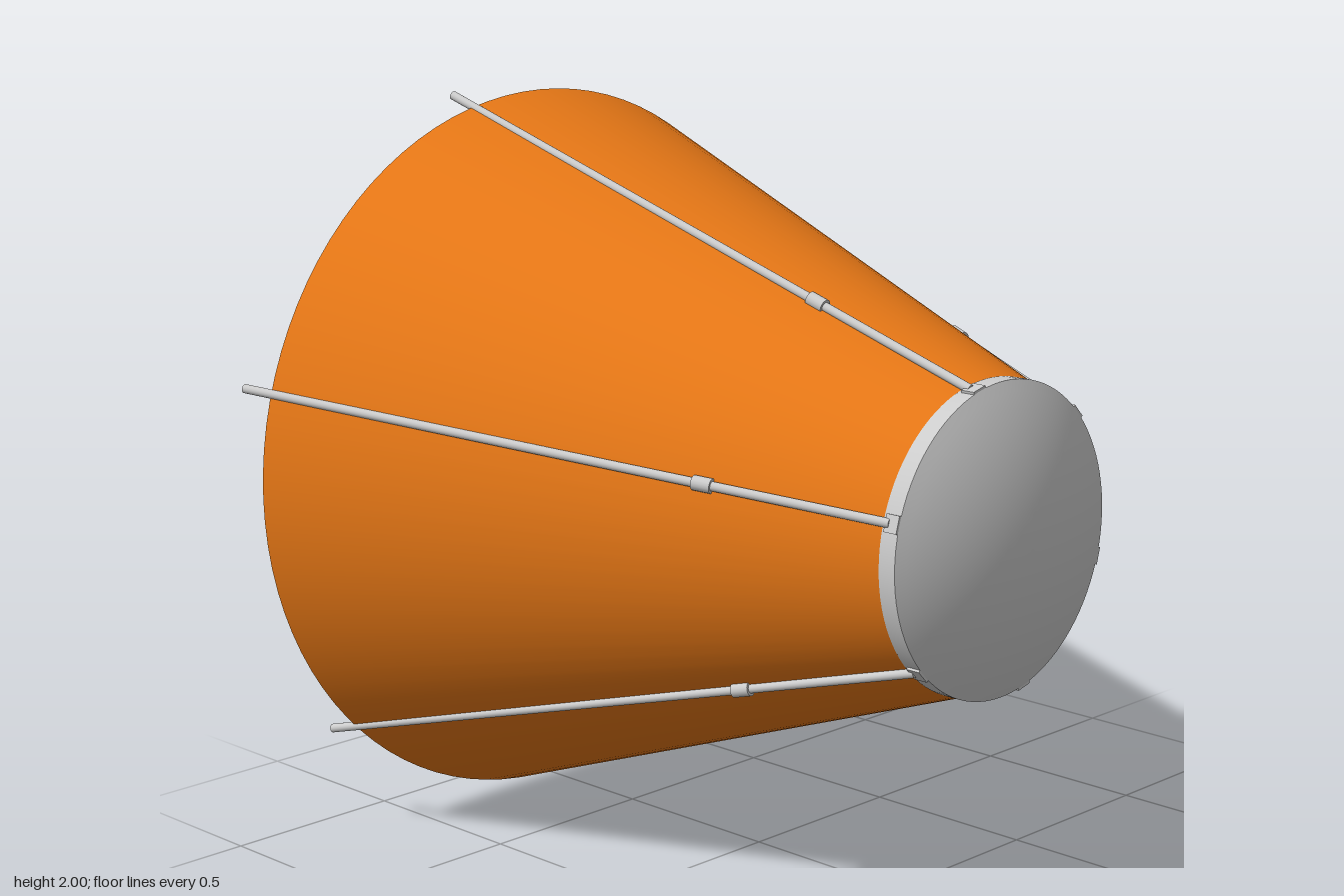
import * as THREE from 'three';

const CY = 1.0; // height of the main axis
const grey = new THREE.MeshStandardMaterial({ color: 0xcccccc });
const orange = new THREE.MeshStandardMaterial({ color: 0xe87816, side: THREE.DoubleSide });
const green = new THREE.MeshStandardMaterial({ color: 0x0e8212 });

function add(parent, name, geometry, material = grey) {
  const mesh = new THREE.Mesh(geometry, material);
  mesh.name = name;
  parent.add(mesh);
  return mesh;
}

// Cylinder along z, from z0 (radius r0) to z1 (radius r1)
function zCylinder(r0, r1, z0, z1, sides = 64, open = false) {
  return new THREE.CylinderGeometry(r1, r0, z1 - z0, sides, 1, open)
    .rotateX(Math.PI / 2).translate(0, 0, (z0 + z1) / 2);
}

export function createModel() {
  const model = new THREE.Group();
  const body = new THREE.Group();
  body.name = 'body';
  body.position.y = CY;
  model.add(body);

  // Thin conical skirt, open at the back
  add(body, 'skirt', zCylinder(0.994, 0.4, -0.84, 0.785, 96, true), orange);

  // Front cap: rim and shallow dome
  add(body, 'noseRim', zCylinder(0.404, 0.404, 0.78, 0.83, 96));
  const R = (0.404 ** 2 + 0.095 ** 2) / (2 * 0.095);
  const span = Math.asin(0.404 / R);
  const dome = [];
  for (let i = 0; i <= 14; i++) {
    const a = span * (1 - i / 14);
    dome.push(new THREE.Vector2(R * Math.sin(a), 0.925 - R + R * Math.cos(a)));
  }
  add(body, 'noseDome', new THREE.LatheGeometry(dome, 96).rotateX(Math.PI / 2));

  // Instrument canister inside the skirt
  add(body, 'canister', zCylinder(0.382, 0.382, -0.58, 0.79));

  // Puffed pad on the rear face of the canister
  const outline = [[0.24, -0.02], [0.19, 0.14], [0.06, 0.24], [-0.1, 0.22], [-0.16, 0.15],
    [-0.16, -0.06], [-0.11, -0.13], [0.05, -0.16], [0.18, -0.12]];
  const curve = new THREE.CatmullRomCurve3(
    outline.map(([x, y]) => new THREE.Vector3(x, y, 0)), true, 'centripetal');
  const padShape = new THREE.Shape(curve.getPoints(54).slice(0, -1)
    .map(p => new THREE.Vector2(p.x, p.y)));
  const pad = new THREE.ExtrudeGeometry(padShape, {
    depth: 0.06, bevelEnabled: true, bevelThickness: 0.05, bevelSize: 0.05, bevelSegments: 6,
  });
  add(body, 'rearPad', pad.translate(0, 0, -0.63), green);

  // Small hollow nozzle beside the pad
  const nozzleProfile = [[0.045, -0.01], [0.036, 0.04], [0.022, 0.04], [0.016, 0.005], [0, 0.005]]
    .map(([r, h]) => new THREE.Vector2(r, h));
  const nozzle = add(body, 'nozzle',
    new THREE.LatheGeometry(nozzleProfile, 24).rotateX(-Math.PI / 2),
    new THREE.MeshStandardMaterial({ color: 0xcccccc, side: THREE.DoubleSide }));
  nozzle.position.set(-0.257, -0.195, -0.58);

  // Six ribs lying along the skirt, each built along local +x and turned about the axis
  const front = new THREE.Vector3(0.404, 0, 0.8);
  const back = new THREE.Vector3(1.02, 0, -0.92);
  const direction = back.clone().sub(front).normalize();
  const tilt = new THREE.Quaternion().setFromUnitVectors(new THREE.Vector3(0, 1, 0), direction);
  const alongRib = (z) => front.clone().lerp(back, (front.z - z) / (front.z - back.z));

  for (let i = 0; i < 6; i++) {
    const rib = new THREE.Group();
    rib.name = 'rib' + (i + 1);
    rib.rotation.z = THREE.MathUtils.degToRad(44 + 60 * i);
    body.add(rib);

    const rod = add(rib, 'ribRod',
      new THREE.CylinderGeometry(0.012, 0.012, front.distanceTo(back), 16));
    rod.position.copy(front).lerp(back, 0.5);
    rod.quaternion.copy(tilt);

    const sleeve = add(rib, 'ribSleeve', new THREE.CylinderGeometry(0.019, 0.019, 0.05, 16));
    sleeve.position.copy(alongRib(0.335));
    sleeve.quaternion.copy(tilt);

    const lug = add(rib, 'ribLug', new THREE.BoxGeometry(0.03, 0.045, 0.04));
    lug.position.set(0.395, 0, 0.81);

    const bracket = add(rib, 'canisterBracket', new THREE.BoxGeometry(0.06, 0.05, 0.06));
    bracket.position.set(0.4, 0, 0.09);
  }
  return model;
}
